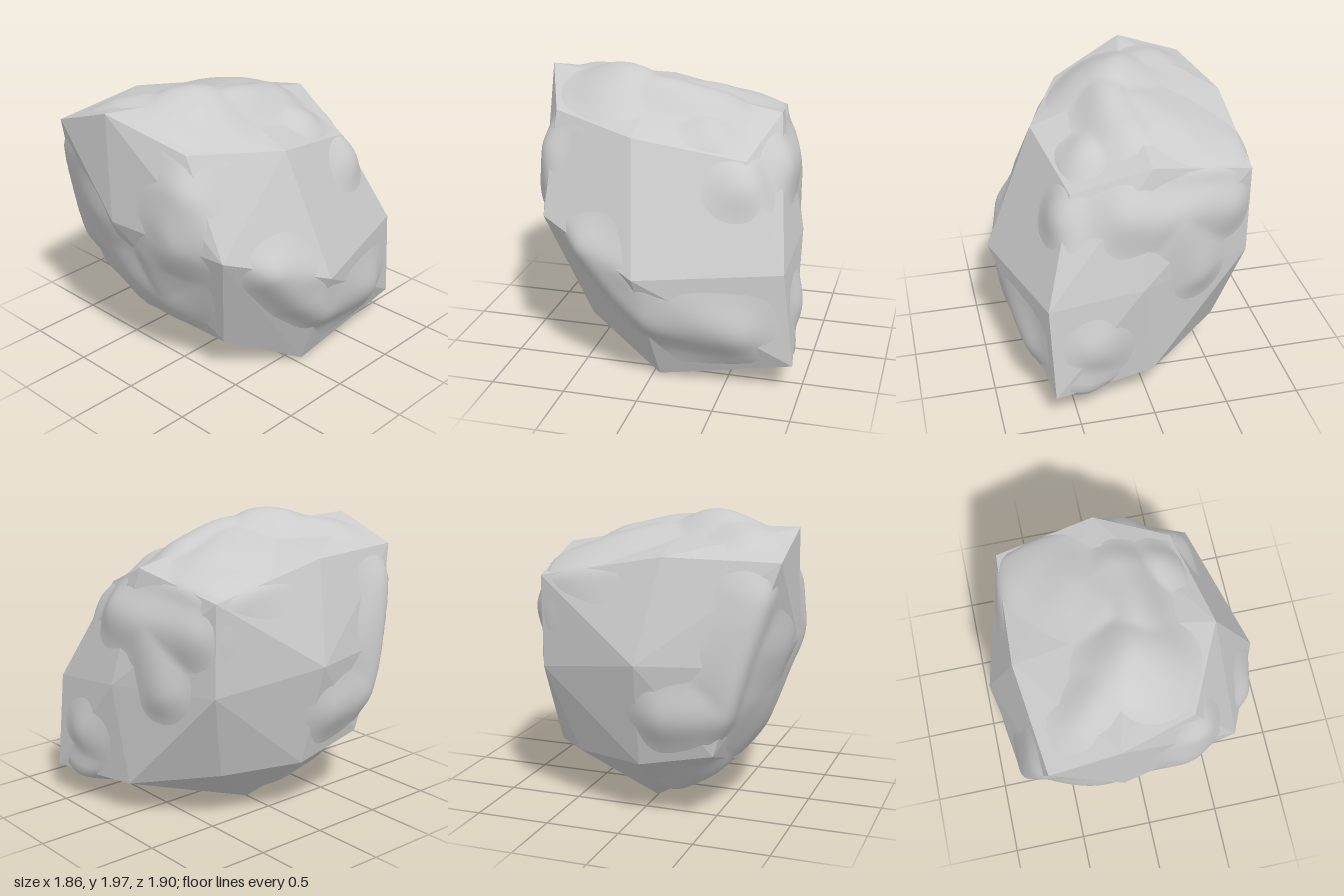
import * as THREE from 'three';
import { ConvexGeometry } from 'three/addons/geometries/ConvexGeometry.js';
import { mergeVertices } from 'three/addons/utils/BufferGeometryUtils.js';

const CENTER = new THREE.Vector3(0, 1, 0);

// Corners of the faceted boulder, in three levels
const CROWN = [
  [-0.2, 1.91, 0.94], [-0.65, 1.75, 0.94], [0.31, 1.72, 0.74], [0.59, 1.65, 0.14], [0.46, 1.51, -0.58],
  [-0.04, 1.71, -0.72], [-0.71, 1.59, -0.64], [-0.74, 1.76, 0.2], [-0.02, 1.87, 0.13],
];
const WAIST = [
  [-0.18, 1.17, 0.94], [-0.79, 1.11, 0.74], [0.62, 1.08, 0.74], [0.93, 0.82, 0.05], [0.67, 0.85, -0.88],
  [0.05, 0.94, -0.9], [-0.7, 0.98, -0.64], [-0.93, 1.1, 0.08],
];
const FOOT = [
  [0.38, 0.3, 0.49], [-0.3, 0.35, 0.57], [-0.76, 0.51, 0.55], [-0.76, 0.4, 0.05], [-0.54, 0.37, -0.46],
  [-0.03, 0.25, -0.83], [0.65, 0.21, -0.95], [0.61, 0.02, -0.05], [-0.27, 0.01, 0],
];

// Worn ridges and knobs as paths of [azimuth, elevation] in degrees from the centre
const BROAD = [
  [[-29, 6], [-31, -9], [-19, -25], [0, -32]], // front hollow's rim
  [[-132, 49], [-108, 79]], // crown
];
const NARROW = [
  [[0, -35], [7, -7], [18, 7], [21, 26]], // front
  [[-44, 26], [-52, -11], [-74, -16]], // model's right flank
  [[62, -6], [76, -23], [90, -31], [108, -32], [127, -31]], [[134, 24]], // model's left flank
  [[-20, 62], [-30, 50]], [[135, 57]], // crown
  [[171, 26], [-166, 25], [-144, 22]], [[-166, 25], [-156, -3]], [[160, -25]], // back
  [[152, -41], [149, -56]], [[-24, -75]], [[-47, -49], [-54, -63]], // underside
];
const RIDGE = [[[165, 69], [18, 69]]];
const PEAK = [[[6, 67]]];

// Outward planes of the facets, measured from the centre
function facetPlanes(geometry) {
  const pos = geometry.attributes.position, planes = [];
  const tri = new THREE.Triangle();
  for (let i = 0; i < pos.count; i += 3) {
    tri.setFromAttributeAndIndices(pos, i, i + 1, i + 2);
    if (tri.getArea() < 1e-5) continue;
    const n = tri.getNormal(new THREE.Vector3());
    planes.push(n.divideScalar(n.dot(tri.a.clone().sub(CENTER))));
  }
  return planes;
}

// Point on the rounded facets in a direction; the rounding stays just inside them
function roundedPoint(planes, d) {
  let sum = 0;
  for (const n of planes) sum += Math.max(0, n.dot(d)) ** 40;
  return d.clone().multiplyScalar(sum ** (-1 / 40)).add(CENTER);
}

// Places swelling paths on the rounded facets
function makeSwellings(planes, paths, width, height) {
  const place = ([azimuth, elevation]) => {
    const polar = THREE.MathUtils.degToRad(90 - elevation);
    const d = new THREE.Vector3().setFromSphericalCoords(1, polar, THREE.MathUtils.degToRad(azimuth));
    return roundedPoint(planes, d);
  };
  return paths.map((path) => ({ path: path.map(place), width, height }));
}

// Height of the swellings near a surface point, with a slight ripple
function swell(swellings, p) {
  let h = 0;
  const line = new THREE.Line3(), q = new THREE.Vector3();
  const ripple = 1 + 0.16 * Math.sin(11 * p.x + 4 * p.y) * Math.sin(9 * p.z - 7 * p.y + 1);
  for (const { path, width, height } of swellings) {
    let d = path[0].distanceTo(p);
    for (let i = 1; i < path.length; i++) {
      line.set(path[i - 1], path[i]).closestPointToPoint(p, true, q);
      d = Math.min(d, q.distanceTo(p));
    }
    h = Math.max(h, height * ripple * Math.exp(-((d / width) ** 2)));
  }
  return h;
}

// Smooth shell just under the facets that breaks through at the swellings
function swellingGeometry(planes) {
  const swellings = [
    ...makeSwellings(planes, BROAD, 0.27, 0.068),
    ...makeSwellings(planes, NARROW, 0.17, 0.066),
    ...makeSwellings(planes, RIDGE, 0.19, 0.1),
    ...makeSwellings(planes, PEAK, 0.28, 0.155),
  ];
  const sphere = new THREE.IcosahedronGeometry(1, 30);
  sphere.deleteAttribute('normal');
  sphere.deleteAttribute('uv');
  const geometry = mergeVertices(sphere, 1e-5);
  const pos = geometry.attributes.position;
  const d = new THREE.Vector3();
  for (let i = 0; i < pos.count; i++) {
    d.fromBufferAttribute(pos, i).normalize();
    const p = roundedPoint(planes, d);
    p.addScaledVector(d, swell(swellings, p));
    pos.setXYZ(i, p.x, THREE.MathUtils.clamp(p.y, 0, 2), p.z);
  }
  geometry.computeVertexNormals();
  return geometry;
}

export function createModel() {
  const group = new THREE.Group();
  group.name = 'boulder';
  const add = (name, geometry, flatShading) => {
    const mesh = new THREE.Mesh(geometry, new THREE.MeshStandardMaterial({ color: 0xcccccc, flatShading }));
    mesh.name = name;
    group.add(mesh);
  };
  const corners = [...CROWN, ...WAIST, ...FOOT].map((p) => new THREE.Vector3(...p));
  const core = new ConvexGeometry(corners);
  add('facetedCore', core, true);
  add('wornSwellings', swellingGeometry(facetPlanes(core)), false);
  return group;
}
